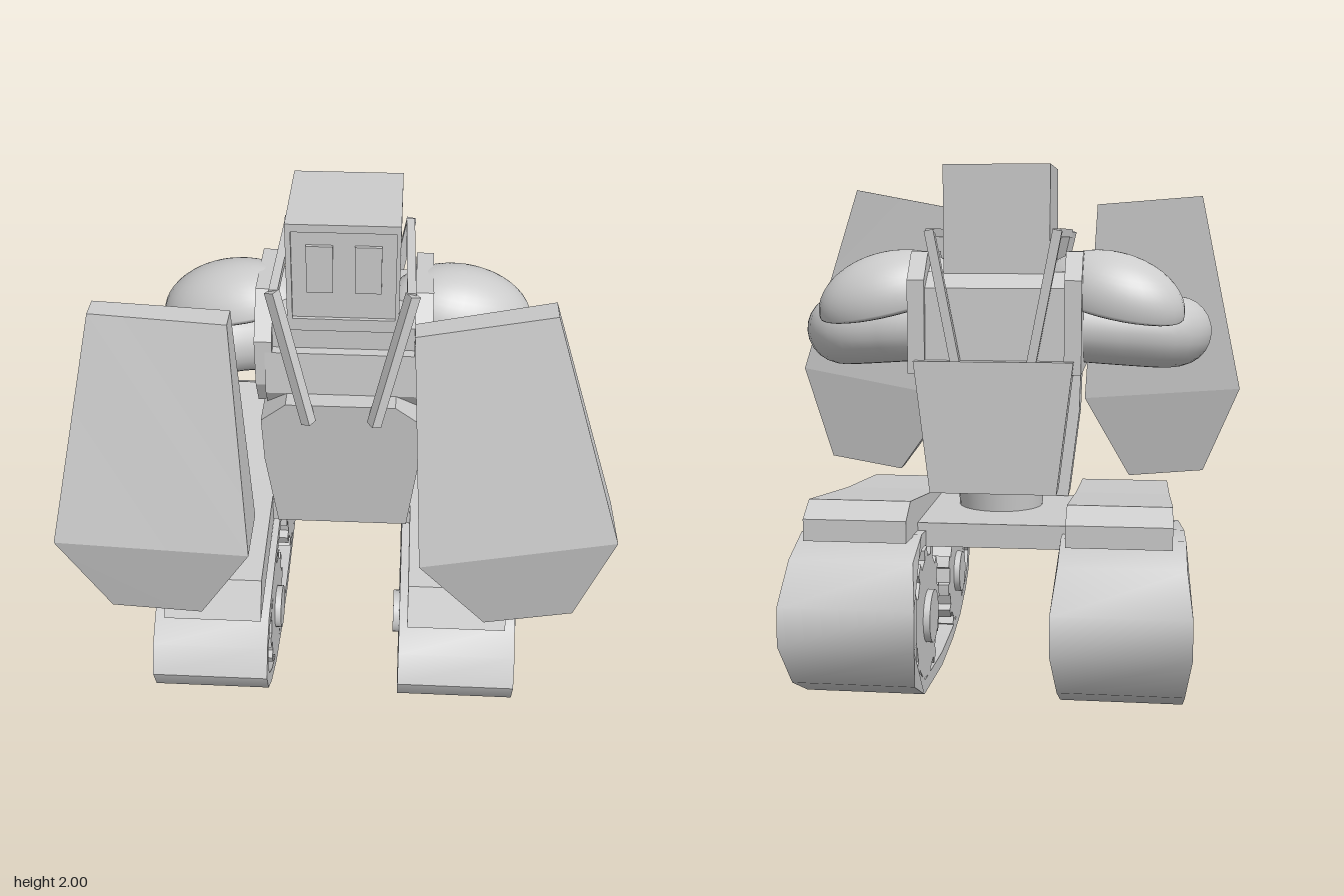
import * as THREE from 'three';
import { toCreasedNormals } from 'three/addons/utils/BufferGeometryUtils.js';

const material = new THREE.MeshStandardMaterial({ color: 0xcccccc, side: THREE.DoubleSide });

function add(parent, name, geometry, x = 0, y = 0, z = 0) {
  const mesh = new THREE.Mesh(geometry, material);
  mesh.name = name;
  mesh.position.set(x, y, z);
  parent.add(mesh);
  return mesh;
}
const box = (w, h, d) => new THREE.BoxGeometry(w, h, d);
const vectors = (points) => points.map(([a, b]) => new THREE.Vector2(a, b));
function extrude(points, depth, holes = []) {
  const shape = new THREE.Shape(vectors(points));
  holes.forEach((h) => shape.holes.push(new THREE.Path(vectors(h))));
  return new THREE.ExtrudeGeometry(shape, { depth, bevelEnabled: false });
}
// Side profile of (z, y) points, centred across x
const sideExtrude = (points, width, holes) =>
  extrude(points, width, holes).translate(0, 0, -width / 2).rotateY(-Math.PI / 2);

// Square bar between two points
function bar(parent, name, a, b, size) {
  const from = new THREE.Vector3(...a), to = new THREE.Vector3(...b);
  const mesh = add(parent, name, box(size, size, from.distanceTo(to)));
  mesh.position.copy(from).lerp(to, 0.5);
  mesh.lookAt(to);
}

// Wheel with slots cut into the rim
function notchedWheel(radius, width) {
  const points = [], count = 12, step = (Math.PI * 2) / count;
  for (let i = 0; i < count; i++) {
    for (const [t, r] of [[0, 1], [0.2, 1], [0.4, 1], [0.42, 0.86], [0.98, 0.86]]) {
      const a = (i + t) * step;
      points.push([Math.cos(a) * radius * r, Math.sin(a) * radius * r]);
    }
  }
  return sideExtrude(points, width);
}

const beltOuter = [[0.715, 0.29], [0.66, 0.4], [0.56, 0.48], [0.3, 0.53], [0, 0.58], [-0.3, 0.635],
  [-0.55, 0.65], [-0.73, 0.59], [-0.825, 0.44], [-0.83, 0.3], [-0.72, 0.13], [-0.52, 0.03],
  [-0.1, 0], [0.2, 0.02], [0.41, 0.06], [0.58, 0.13], [0.68, 0.2]];
const beltInner = [[0.66, 0.29], [0.62, 0.37], [0.53, 0.43], [0.3, 0.48], [0, 0.53], [-0.3, 0.585],
  [-0.54, 0.595], [-0.69, 0.54], [-0.765, 0.42], [-0.77, 0.32], [-0.68, 0.18], [-0.5, 0.08],
  [-0.1, 0.055], [0.2, 0.07], [0.4, 0.11], [0.55, 0.17], [0.63, 0.23]];

function track(x) {
  const group = new THREE.Group();
  group.name = 'track';
  group.position.x = x;
  // Belt, flared a little at the rear
  const belt = sideExtrude(beltOuter, 0.45, [beltInner]);
  const p = belt.attributes.position;
  for (let i = 0; i < p.count; i++) if (p.getZ(i) < -0.75) p.setX(i, p.getX(i) * 1.09);
  add(group, 'belt', toCreasedNormals(belt, 0.8));
  for (const [z, y, r, hub] of [[0.31, 0.285, 0.235, 0.087], [-0.435, 0.31, 0.27, 0.1]]) {
    add(group, 'wheel', toCreasedNormals(notchedWheel(r, 0.45), 0.4), 0, y, z);
    add(group, 'hub', new THREE.CylinderGeometry(hub, hub, 0.5, 24).rotateZ(Math.PI / 2), 0, y, z);
  }
  return group;
}

// Tapered arm swept through the shoulder, elbow and wrist; points are [x, y, z, radius]
function armGeometry(points) {
  const segments = 30, radial = 24;
  const curve = new THREE.CatmullRomCurve3(points.map(([x, y, z]) => new THREE.Vector3(x, y, z)));
  const geometry = new THREE.TubeGeometry(curve, segments, 1, radial);
  const p = geometry.attributes.position, v = new THREE.Vector3();
  for (let i = 0; i <= segments; i++) {
    const centre = curve.getPointAt(i / segments);
    const t = curve.getUtoTmapping(i / segments) * (points.length - 1);
    const k = Math.min(Math.floor(t), points.length - 2);
    const r = THREE.MathUtils.lerp(points[k][3], points[k + 1][3], t - k);
    for (let j = 0; j <= radial; j++) {
      const n = i * (radial + 1) + j;
      v.fromBufferAttribute(p, n).sub(centre).multiplyScalar(r).add(centre);
      p.setXYZ(n, v.x, v.y, v.z);
    }
  }
  return geometry;
}

// Six-cornered shield, folded at mid height
function shieldGeometry(corners) {
  const front = [0.64, 0.82, 0.735, 0.725, 0.8, 0.63], back = [0.56, 0.585, 0.66, 0.66, 0.58, 0.54];
  const positions = [...corners.map(([x, y], i) => [x, y, front[i]]),
    ...corners.map(([x, y], i) => [x, y, back[i]])].flat();
  const index = [];
  for (const [a, b, c] of [[0, 1, 4], [0, 4, 5], [1, 2, 3], [1, 3, 4]])
    index.push(a, b, c, a + 6, c + 6, b + 6);
  for (let i = 0; i < 6; i++) {
    const j = (i + 1) % 6;
    index.push(i, i + 6, j + 6, i, j + 6, j);
  }
  const geometry = new THREE.BufferGeometry();
  geometry.setAttribute('position', new THREE.Float32BufferAttribute(positions, 3));
  geometry.setIndex(index);
  return toCreasedNormals(geometry, 0.05);
}

export function createModel() {
  const model = new THREE.Group();
  model.name = 'trackedRobot';

  // Tracks, fenders and the bar joining them
  const fender = [[0.63, 0.52], [0.55, 0.66], [0, 0.71], [-0.6, 0.785], [-0.69, 0.73],
    [-0.69, 0.65], [-0.31, 0.635], [0.13, 0.57]];
  for (const side of [-1, 1]) {
    model.add(track(side * 0.48 - 0.015));
    add(model, 'fender', sideExtrude(fender, 0.375), side * 0.47 - 0.012);
  }
  add(model, 'crossbar', box(0.57, 0.09, 0.56), -0.012, 0.63, -0.18);

  // Segmented waist
  for (let i = 0; i < 6; i++) {
    const r = 0.165 + i * 0.002;
    const ring = add(model, 'waistRing', new THREE.CylinderGeometry(r + 0.006, r, 0.115, 32),
      0, 0.72 + i * 0.1, -0.075 + i * 0.003);
    ring.rotation.x = i % 2 ? 0.08 : -0.06;
  }

  // Front plate, leaning forward
  const plate = extrude([[-0.26, 0.68], [0.255, 0.68], [0.295, 1.02], [0.3, 1.22],
    [0.2, 1.3], [-0.21, 1.3], [-0.305, 1.22], [-0.3, 1.02]], 0.145);
  const p = plate.attributes.position;
  for (let i = 0; i < p.count; i++) p.setZ(i, p.getZ(i) + 0.07 + (p.getY(i) - 0.7) * 0.1);
  plate.computeVertexNormals();
  add(model, 'frontPlate', plate);

  // Chest between two eight-sided shoulder slabs
  add(model, 'chest', sideExtrude([[0.14, 1.2], [0.2, 1.3], [0.19, 1.475], [0.15, 1.475],
    [0.15, 1.57], [0.05, 1.6], [-0.23, 1.6], [-0.31, 1.54], [-0.32, 1.2]], 0.58));
  for (const side of [-1, 1]) {
    const slab = add(model, 'shoulderSlab', sideExtrude([[0.13, 1.22], [0.19, 1.33], [0.19, 1.52],
      [0.07, 1.675], [-0.23, 1.675], [-0.33, 1.57], [-0.33, 1.22]], 0.065), side * 0.295);
    slab.position.y = 0;
  }

  // Backpack, narrower at the bottom
  add(model, 'backpack', extrude([[-0.24, 0.77], [0.24, 0.77], [0.3, 1.27], [-0.3, 1.27]], 0.13), 0, 0, -0.37);

  // Head with framed face and two eye panels
  const head = new THREE.Group();
  head.name = 'head';
  model.add(head);
  add(head, 'headBlock', box(0.405, 0.43, 0.405), 0, 1.785, -0.0375);
  const rect = (x0, y0, x1, y1) => [[x0, y0], [x1, y0], [x1, y1], [x0, y1]];
  add(head, 'faceFrame', extrude(rect(-0.2025, 1.57, 0.2025, 2), 0.015,
    [rect(-0.183, 1.62, 0.188, 1.97)]), 0, 0, 0.165);
  for (const x of [-0.083, 0.09]) add(head, 'eyePanel', box(0.095, 0.185, 0.02), x, 1.822, 0.168);

  // Cage bars around the head
  for (const side of [-1, 1]) {
    const top = [side * 0.245, 1.745, 0.22], rear = [side * 0.235, 1.745, -0.345];
    bar(model, 'cageTopBar', top, rear, 0.032);
    bar(model, 'cageFrontBar', [side * 0.25, 1.755, 0.22], [side * 0.122, 1.24, 0.3], 0.04);
    bar(model, 'cageRearBar', [side * 0.238, 1.755, -0.345], [side * 0.14, 1.25, -0.345], 0.035);
  }

  // Arms and shoulder domes
  for (const [side, wrist, rise] of [[1, 0.705, 0], [-1, 0.655, 0.035]]) {
    add(model, 'arm', armGeometry([[side * 0.25, 1.38, -0.08, 0.13], [side * 0.45, 1.37, -0.065, 0.135],
      [side * 0.63, 1.36, -0.01, 0.14], [side * 0.69, 1.355, 0.13, 0.14],
      [side * (wrist + 0.69) / 2, 1.335 + rise / 2, 0.3, 0.122], [side * wrist, 1.31 + rise, 0.59, 0.107]]));
    const dome = new THREE.Group();
    dome.name = 'shoulderDome';
    dome.position.set(side * 0.43, 1.485, -0.105);
    dome.rotation.set(-0.2, side * 0.22, side * -0.2);
    model.add(dome);
    add(dome, 'domeShell', new THREE.SphereGeometry(1, 32, 12, 0, Math.PI * 2, 0, Math.PI / 2)).scale.set(0.29, 0.19, 0.195);
    add(dome, 'domeBase', new THREE.SphereGeometry(1, 32, 8, 0, Math.PI * 2, Math.PI / 2, Math.PI / 2)).scale.set(0.29, 0.04, 0.195);
  }

  // Shields
  add(model, 'leftShield', shieldGeometry([[0.257, 1.85], [0.3, 1.015], [0.55, 0.67],
    [0.87, 0.725], [0.975, 1.14], [0.71, 1.935]]));
  add(model, 'rightShield', shieldGeometry([[-0.8, 1.905], [-0.98, 1.07], [-0.83, 0.69],
    [-0.5, 0.66], [-0.3, 1.02], [-0.35, 1.87]]));
  return model;
}
